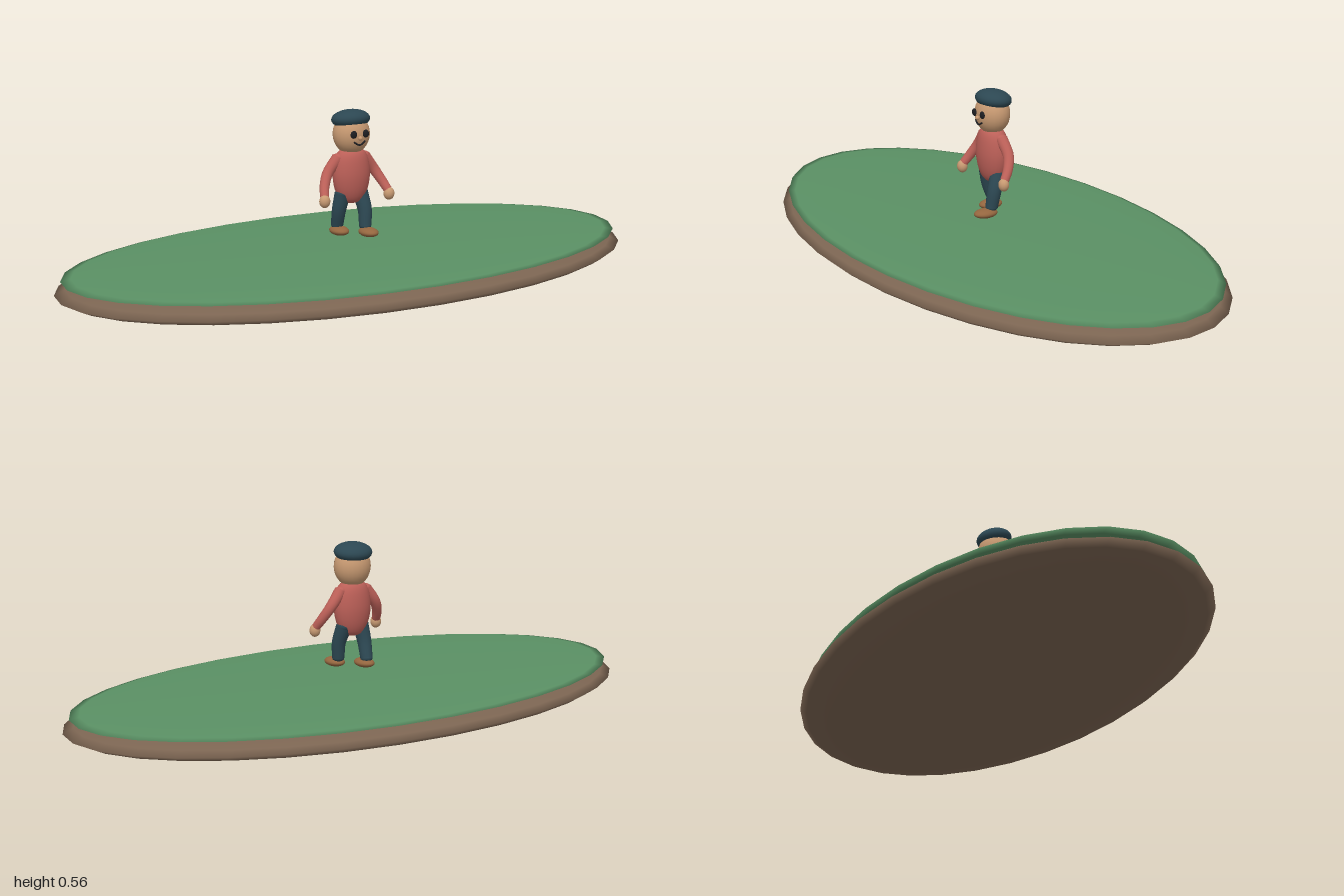
import * as THREE from 'three';

const mat = (name, color) => {
  const m = new THREE.MeshStandardMaterial({ color });
  m.name = name;
  return m;
};

export function createModel() {
  const grass = mat('grass', 0x5a9064);
  const soil = mat('soil', 0x7c6552);
  const shirt = mat('shirt red', 0xbc6058);
  const navy = mat('dark teal cloth', 0x2c4752);
  const skin = mat('skin', 0xc89a72);
  const leather = mat('shoe brown', 0x94663f);
  const dark = mat('dark features', 0x1d1e22);

  const model = new THREE.Group();
  model.name = 'figureOnIsland';
  const add = (parent, name, geometry, material) => {
    const mesh = new THREE.Mesh(geometry, material);
    mesh.name = name;
    parent.add(mesh);
    return mesh;
  };
  const ellipsoid = (parent, name, material, radii, pos, w = 24, h = 16) => {
    const mesh = add(parent, name, new THREE.SphereGeometry(1, w, h), material);
    mesh.scale.set(...radii);
    mesh.position.set(...pos);
    return mesh;
  };

  // Tube along a smooth path whose radius narrows from r0 to r1, with closed ends
  const limb = (parent, name, material, points, r0, r1) => {
    const path = new THREE.CatmullRomCurve3(points.map((p) => new THREE.Vector3(...p)));
    const rows = 14, sides = 14;
    const geometry = new THREE.TubeGeometry(path, rows, 1, sides);
    const pos = geometry.attributes.position;
    const v = new THREE.Vector3();
    for (let i = 0; i < pos.count; i++) {
      const t = Math.floor(i / (sides + 1)) / rows;
      const c = path.getPointAt(t);
      v.fromBufferAttribute(pos, i).sub(c).multiplyScalar(r0 + (r1 - r0) * t).add(c);
      pos.setXYZ(i, v.x, v.y, v.z);
    }
    add(parent, name, geometry, material);
    [[points[0], r0], [points[points.length - 1], r1]].forEach(([p, r]) =>
      ellipsoid(parent, name + 'End', material, [r, r * 0.7, r], p, 14, 8));
  };

  // Island: soil lens with a thinner grass lens on top
  ellipsoid(model, 'soilBase', soil, [1, 0.06, 0.545], [0, 0.06, 0], 32, 12);
  ellipsoid(model, 'grassTop', grass, [0.98, 0.02, 0.523], [0, 0.102, 0], 32, 12);

  const figure = new THREE.Group();
  figure.name = 'figure';
  model.add(figure);

  // Torso
  const profile = [[0, 0.257], [0.025, 0.26], [0.043, 0.275], [0.057, 0.305], [0.064, 0.345],
    [0.061, 0.385], [0.052, 0.415], [0.035, 0.431], [0, 0.436]];
  const curve = new THREE.SplineCurve(profile.map((p) => new THREE.Vector2(...p)));
  const outline = curve.getPoints(24).map((p) => new THREE.Vector2(Math.max(0, p.x), p.y));
  add(figure, 'torso', new THREE.LatheGeometry(outline, 24), shirt).scale.z = 0.73;

  // Limbs: the left leg (+x) steps forward
  for (const s of [1, -1]) {
    const side = s > 0 ? 'left' : 'right';
    const step = s > 0 ? 0.027 : -0.028;
    limb(figure, side + 'Leg', navy,
      [[s * 0.032, 0.29, 0], [s * 0.039, 0.235, step * 0.55 + 0.004], [s * 0.036, 0.183, step]], 0.026, 0.02);
    ellipsoid(figure, side + 'Shoe', leather, [0.029, 0.015, 0.041], [s * 0.035, 0.166, step + (s > 0 ? 0.022 : 0.011)]);
    limb(figure, side + 'Arm', shirt,
      [[s * 0.047, 0.408, -0.003], [s * 0.085, 0.36, -0.004], [s * 0.107, 0.32, 0.014], [s * 0.117, 0.293, 0.033]], 0.02, 0.014);
    ellipsoid(figure, side + 'Hand', skin, [0.018, 0.021, 0.017], [s * 0.119, 0.281, 0.037], 16, 12);
  }

  // Head and cap
  ellipsoid(figure, 'head', skin, [0.061, 0.066, 0.055], [0, 0.482, 0]);
  ellipsoid(figure, 'cap', navy, [0.064, 0.031, 0.056], [0, 0.529, -0.004]).rotation.x = -0.12;

  // Face
  for (const s of [1, -1]) {
    ellipsoid(figure, s > 0 ? 'leftEye' : 'rightEye', dark, [0.0115, 0.0125, 0.006], [s * 0.022, 0.488, 0.053], 16, 12);
  }
  ellipsoid(figure, 'nose', skin, [0.007, 0.007, 0.008], [0, 0.475, 0.056], 14, 10);
  const smile = new THREE.CatmullRomCurve3([[-0.021, 0.464, 0.05], [0, 0.453, 0.053], [0.021, 0.464, 0.05]]
    .map((p) => new THREE.Vector3(...p)));
  add(figure, 'mouth', new THREE.TubeGeometry(smile, 14, 0.0028, 8), dark);

  return model;
}
